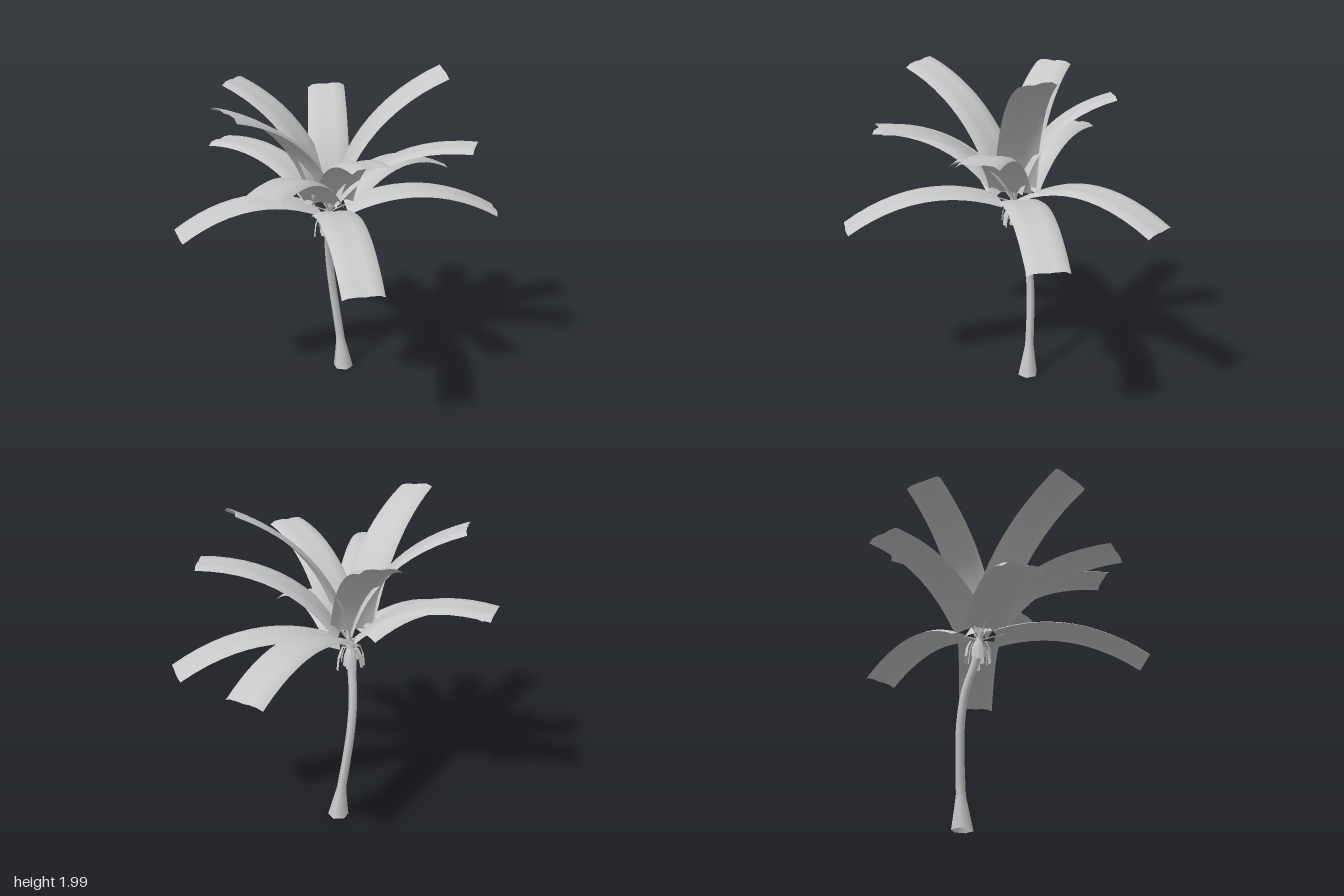
import * as THREE from 'three';
import { mergeVertices } from 'three/addons/utils/BufferGeometryUtils.js';

const grey = new THREE.MeshStandardMaterial({ color: 0xc8c8c8, side: THREE.DoubleSide });
grey.name = 'palmGrey';

const V = (x, y, z) => new THREE.Vector3(x, y, z);
const CROWN = V(-0.05, 1.13, -0.145);
const UP = V(0, 1, 0);

function add(parent, geometry, name) {
  const mesh = new THREE.Mesh(geometry, grey);
  mesh.name = name;
  parent.add(mesh);
}

// Smooth surface through rows of points, all of the same length
function loft(rows) {
  const n = rows[0].length, pos = [], index = [];
  rows.forEach(row => row.forEach(p => pos.push(p.x, p.y, p.z)));
  for (let i = 0; i < rows.length - 1; i++) {
    for (let j = 0; j < n - 1; j++) {
      const a = i * n + j, b = a + n;
      index.push(a, b, a + 1, a + 1, b, b + 1);
    }
  }
  const g = new THREE.BufferGeometry();
  g.setAttribute('position', new THREE.Float32BufferAttribute(pos, 3));
  g.setIndex(index);
  const welded = mergeVertices(g);
  welded.computeVertexNormals();
  return welded;
}

// Curved six-sided trunk with a flared, open foot: centre and radius at each station
function trunk(group) {
  const stations = [
    [0.058, 0, -0.205, 0.064], [0.052, 0.1, -0.212, 0.046], [0.044, 0.2, -0.22, 0.029],
    [0.02, 0.4, -0.235, 0.027], [-0.005, 0.6, -0.241, 0.026], [-0.03, 0.8, -0.222, 0.025],
    [-0.053, 1.0, -0.165, 0.026], [-0.057, 1.15, -0.145, 0.024],
  ];
  const centres = new THREE.CatmullRomCurve3(stations.map(([x, y, z]) => V(x, y, z)));
  const spans = stations.length - 1, rows = [];
  for (let k = 0; k <= spans * 3; k++) {
    const s = k / 3, i = Math.min(Math.floor(s), spans - 1);
    const c = centres.getPoint(s / spans);
    const r = THREE.MathUtils.lerp(stations[i][3], stations[i + 1][3], s - i);
    rows.push(Array.from({ length: 7 }, (_, j) => {
      const a = Math.PI / 2 - j / 6 * Math.PI * 2;
      return V(c.x + r * Math.cos(a), c.y, c.z + r * Math.sin(a));
    }));
  }
  add(group, loft(rows), 'trunk');
}

// Arched frond: a shallow folded section swept from the crown to its tip
const SECTION = [[-1, -0.022], [-0.75, -0.003], [-0.35, 0.001], [0, -0.005], [0.35, 0.001], [0.75, -0.003], [1, -0.022]];

function frond(group, tip, roll, arch) {
  const chord = tip.clone().sub(CROWN);
  const side = V(chord.x, 0, chord.z).cross(UP).normalize();
  const normal = side.clone().cross(chord).normalize();
  const control = CROWN.clone().add(tip).multiplyScalar(0.5).addScaledVector(normal, arch);
  const curve = new THREE.QuadraticBezierCurve3(CROWN, control, tip);
  const rows = [];
  for (let i = 0; i <= 12; i++) {
    const t = 0.09 + 0.91 * i / 12;
    const p = curve.getPoint(t), tangent = curve.getTangent(t);
    const across = side.clone().applyAxisAngle(tangent, roll * t);
    const n = across.clone().cross(tangent).normalize();
    const half = THREE.MathUtils.lerp(0.13, 0.115, t);
    rows.push(SECTION.map(([s, h]) => p.clone().addScaledVector(across, s * half).addScaledVector(n, h)));
  }
  add(group, loft(rows), 'frondBlade');
  // Thin stalk joining the blade to the crown
  const stalk = new THREE.QuadraticBezierCurve3(
    CROWN, curve.getPoint(0.06), curve.getPoint(0.14).addScaledVector(normal, -0.008));
  add(group, new THREE.TubeGeometry(stalk, 4, 0.004, 5), 'frondStalk');
}

// Short husk hanging outwards and down under the crown
function husk(group, angle, reach, drop) {
  const out = V(Math.cos(angle), 0, Math.sin(angle));
  const side = V(-out.z, 0, out.x);
  const path = [[0.02, 0, 0.004], [reach * 0.7, 0.01, 0.007], [reach, -drop * 0.4, 0.016], [reach + 0.008, -drop, 0.015]];
  add(group, loft(path.map(([r, h, w]) => {
    const p = V(-0.055, 1.1, -0.155).addScaledVector(out, r);
    p.y += h;
    return [-1, 0, 1].map(s => p.clone().addScaledVector(side, s * w).addScaledVector(out, s ? -0.006 : 0));
  })), 'husk');
}

// Slim young shoot rising from the heart of the crown
function shoot(group, angle, height, lean) {
  const out = V(Math.cos(angle), 0, Math.sin(angle));
  const side = V(-out.z, 0, out.x);
  const rows = [0, 0.35, 0.7, 1].map(t => {
    const p = CROWN.clone().addScaledVector(out, 0.015 + lean * t * t);
    p.y += height * t;
    const w = 0.009 * (1 - t) + 0.001;
    return [p.clone().addScaledVector(side, -w), p.clone().addScaledVector(side, w)];
  });
  add(group, loft(rows), 'shoot');
}

export function createModel() {
  const model = new THREE.Group();
  model.name = 'palmTree';
  trunk(model);

  const fronds = new THREE.Group();
  fronds.name = 'fronds';
  model.add(fronds);
  // Tip position, sideways roll and arch of each frond
  const tips = [
    [0.868, 1.205, -0.62, 0, 0.33], [0.592, 1.985, 0.012, 0.14], [0.953, 1.11, 0.072],
    [0.657, 1.617, 0.345], [-0.085, 1.665, 0.66], [-0.205, 1.055, 0.86],
    [-0.63, 1.522, 0.517], [-0.74, 1.9, 0.215, -0.16], [-0.98, 1.113, -0.14],
    [-0.505, 1.885, -0.595], [-0.56, 1.457, -0.812, 0, 0.26], [0.115, 1.785, -0.695, -0.06],
  ];
  tips.forEach(([x, y, z, roll = 0, arch = 0.29]) => frond(fronds, V(x, y, z), roll, arch));

  const crown = new THREE.Group();
  crown.name = 'crown';
  model.add(crown);
  for (let i = 0; i < 12; i++) {
    husk(crown, i / 12 * Math.PI * 2 + 0.2, i % 2 ? 0.052 : 0.082, i % 3 ? 0.1 : 0.13);
  }
  for (let i = 0; i < 7; i++) {
    shoot(crown, i * 2.4, 0.2 + 0.055 * (i % 3), 0.03 + 0.02 * (i % 4));
  }
  return model;
}
